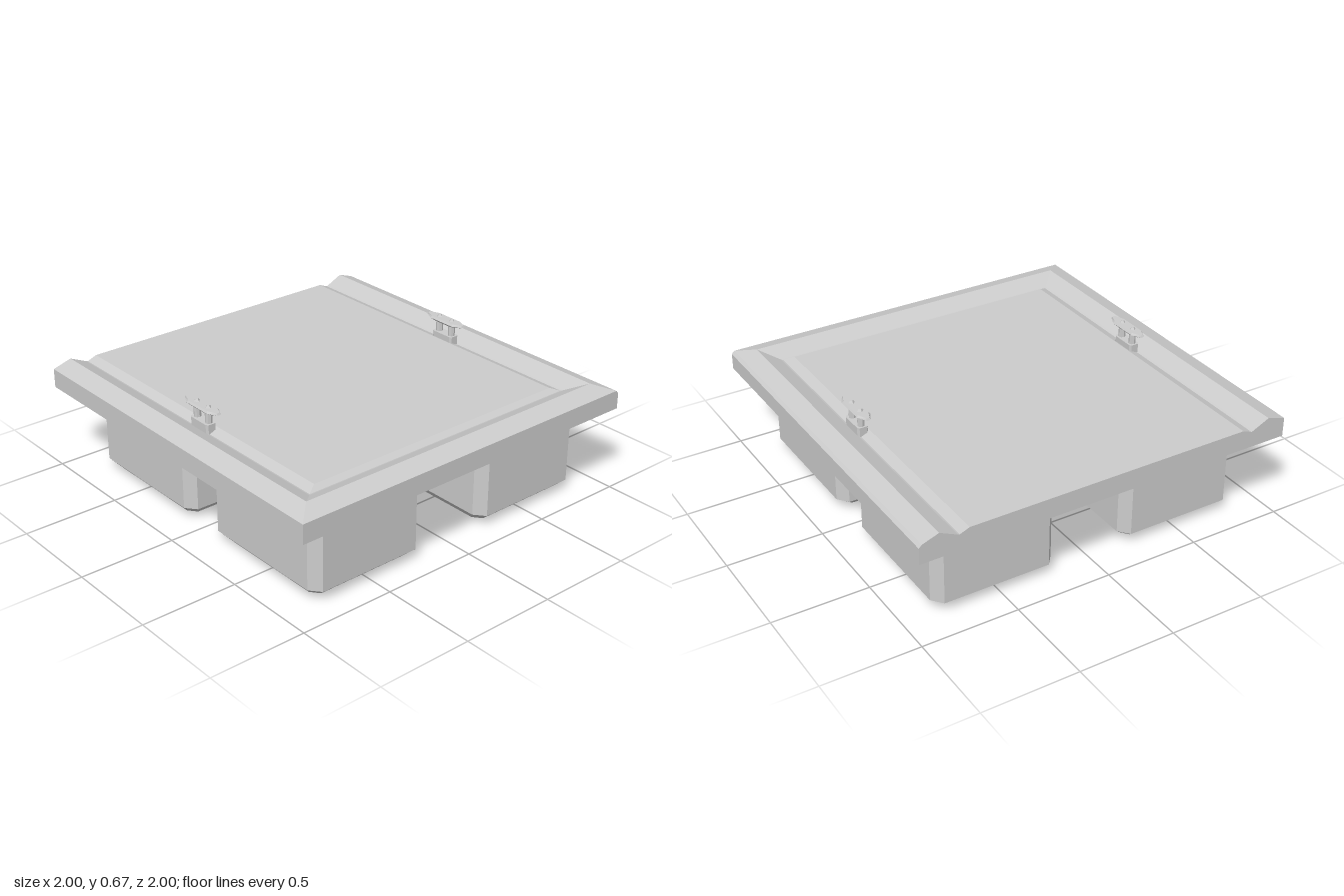
import * as THREE from 'three';

const material = new THREE.MeshStandardMaterial({ color: 0xcccccc, flatShading: true });

function mesh(name, geometry, parent, x = 0, y = 0, z = 0) {
  const m = new THREE.Mesh(geometry, material);
  m.name = name;
  m.position.set(x, y, z);
  parent.add(m);
  return m;
}

// Turns convex polygons (corner lists, counter-clockwise from outside) into a faceted geometry
function facets(polygons) {
  const out = [];
  for (const p of polygons)
    for (let i = 1; i < p.length - 1; i++) out.push(...p[0], ...p[i], ...p[i + 1]);
  const g = new THREE.BufferGeometry();
  g.setAttribute('position', new THREE.Float32BufferAttribute(out, 3));
  g.computeVertexNormals();
  return g;
}

// Rectangle with cut corners: half sizes, corner cuts, height
const octagon = ([x, z, cx, cz, y]) => [
  [-x, y, -z + cz], [-x, y, z - cz], [-x + cx, y, z], [x - cx, y, z],
  [x, y, z - cz], [x, y, -z + cz], [x - cx, y, -z], [-x + cx, y, -z],
];

// Closed solid through octagons stacked from bottom to top
function loft(sections) {
  const rings = sections.map(octagon);
  const faces = [[...rings[0]].reverse(), rings[rings.length - 1]];
  for (let r = 0; r < rings.length - 1; r++)
    for (let i = 0; i < 8; i++) {
      const j = (i + 1) % 8;
      faces.push([rings[r][i], rings[r][j], rings[r + 1][j], rings[r + 1][i]]);
    }
  return facets(faces);
}

// Deck slab with a raised rim and gutter on three sides, open at the back
function deckGeometry() {
  // left x, right x, front z, height
  const profile = [
    [1, 1, 1, 0.445], [1, 1, 1, 0.53], [1, 0.985, 1, 0.545], [0.9, 0.9, 0.9, 0.575],
    [0.81, 0.81, 0.81, 0.533], [0.8, 0.8, 0.8, 0.53], [0.75, 0.75, 0.77, 0.55],
  ];
  const rings = profile.map(([l, r, z, y]) => [[-l, y, -1], [-l, y, z], [r, y, z], [r, y, -1]]);
  const faces = [[...rings[0]].reverse(), rings[rings.length - 1]];
  for (let r = 0; r < rings.length - 1; r++)
    for (let i = 0; i < 3; i++)
      faces.push([rings[r][i], rings[r][i + 1], rings[r + 1][i + 1], rings[r + 1][i]]);
  // back end face, column by column
  const upper = rings.slice(1);
  const edge = [...upper.map((p) => p[0]), ...upper.map((p) => p[3]).reverse()];
  for (let i = 0; i < edge.length - 1; i++) {
    const a = edge[i], b = edge[i + 1];
    if (b[0] - a[0] > 1e-6)
      faces.push([[b[0], 0.445, -1], [a[0], 0.445, -1], a, b]);
  }
  return facets(faces);
}

function createCleat() {
  const cleat = new THREE.Group();
  cleat.name = 'cleat';
  mesh('cleatBase', loft([[0.028, 0.07, 0.008, 0.012, 0.53], [0.028, 0.07, 0.008, 0.012, 0.578]]), cleat);
  mesh('cleatBar', loft([
    [0.024, 0.085, 0.012, 0.03, 0.635],
    [0.035, 0.13, 0.025, 0.05, 0.647],
    [0.028, 0.125, 0.02, 0.05, 0.657],
  ]), cleat);
  for (const z of [-0.045, 0.045]) {
    mesh('cleatPost', new THREE.CylinderGeometry(0.018, 0.018, 0.07, 8), cleat, 0, 0.607, z);
    mesh('cleatBolt', new THREE.CylinderGeometry(0.008, 0.018, 0.012, 4), cleat, 0, 0.662, z);
  }
  return cleat;
}

export function createModel() {
  const model = new THREE.Group();
  model.name = 'floatingDock';

  mesh('deck', deckGeometry(), model);

  // Four bevelled floats under the deck
  const floatShape = loft([
    [0.27, 0.322, 0.035, 0.045, 0],
    [0.325, 0.39, 0.045, 0.055, 0.06],
    [0.325, 0.39, 0.045, 0.055, 0.446],
  ]);
  for (const x of [-0.51, 0.52])
    for (const z of [0.487, -0.463]) mesh('float', floatShape, model, x, 0, z);

  // Mooring cleats at both sides
  for (const side of [-1, 1]) {
    const cleat = createCleat();
    cleat.position.set(side * 0.785, 0, -0.005);
    model.add(cleat);
  }
  return model;
}
